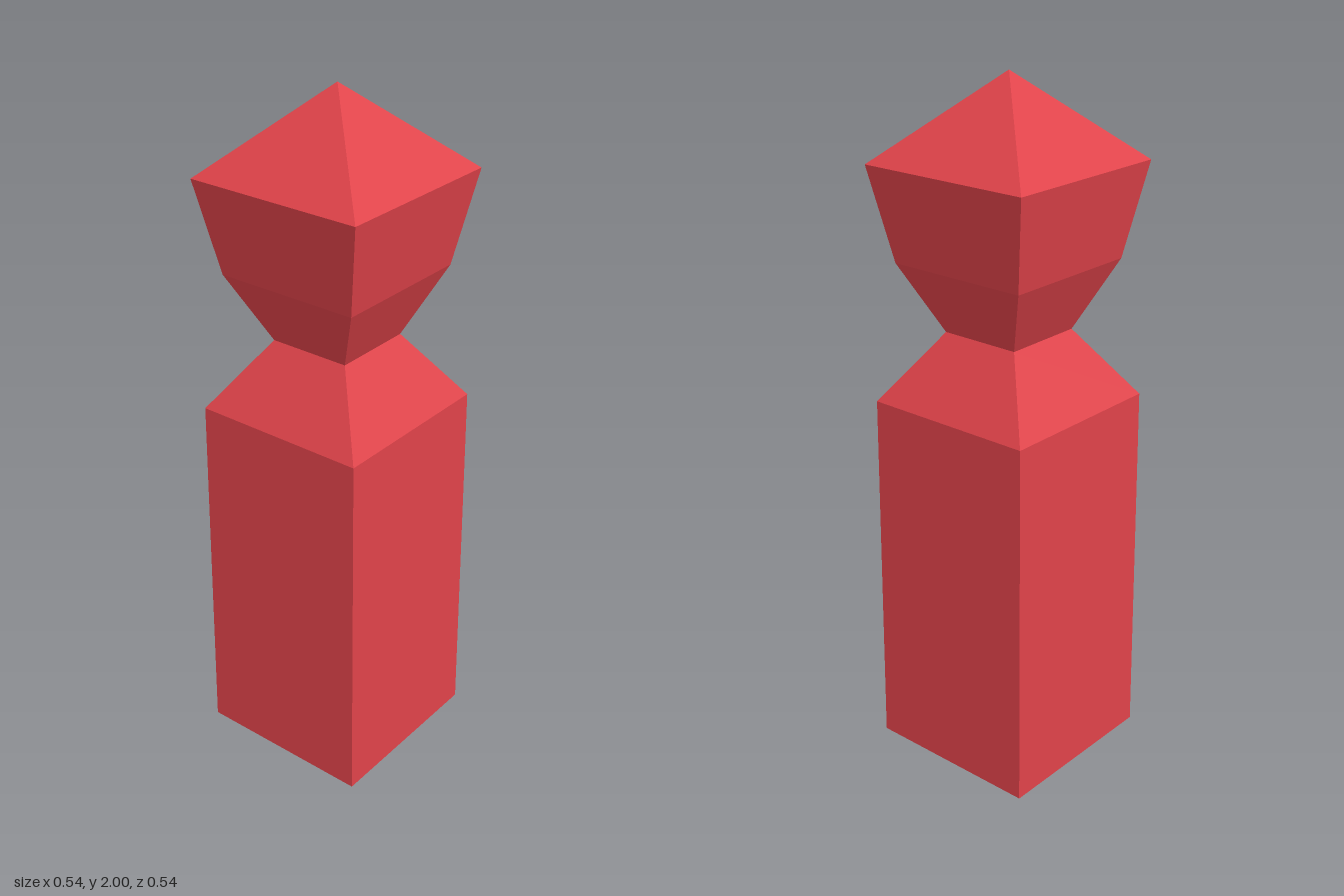
import * as THREE from 'three';

const material = new THREE.MeshStandardMaterial({
  color: 0xe0434a,
  flatShading: true,
  side: THREE.DoubleSide,
});

// Four-sided shell through [half width, height] rings
function squareShell(name, rings) {
  const points = rings.map(([half, y]) => new THREE.Vector2(half * Math.SQRT2, y));
  const geometry = new THREE.LatheGeometry(points, 4, Math.PI / 4).toNonIndexed();
  geometry.computeVertexNormals();
  const mesh = new THREE.Mesh(geometry, material);
  mesh.name = name;
  return mesh;
}

export function createModel() {
  const group = new THREE.Group();
  group.name = 'squarePawn';

  // Hollow body, open underneath, with sloping shoulders up to the neck
  group.add(squareShell('body', [[0.268, 0], [0.262, 1.09], [0.123, 1.29]]));

  // Flared head
  group.add(squareShell('head', [[0.123, 1.29], [0.217, 1.49], [0.268, 1.76]]));

  // Pyramid cap
  group.add(squareShell('cap', [[0.268, 1.76], [0, 2]]));

  return group;
}
